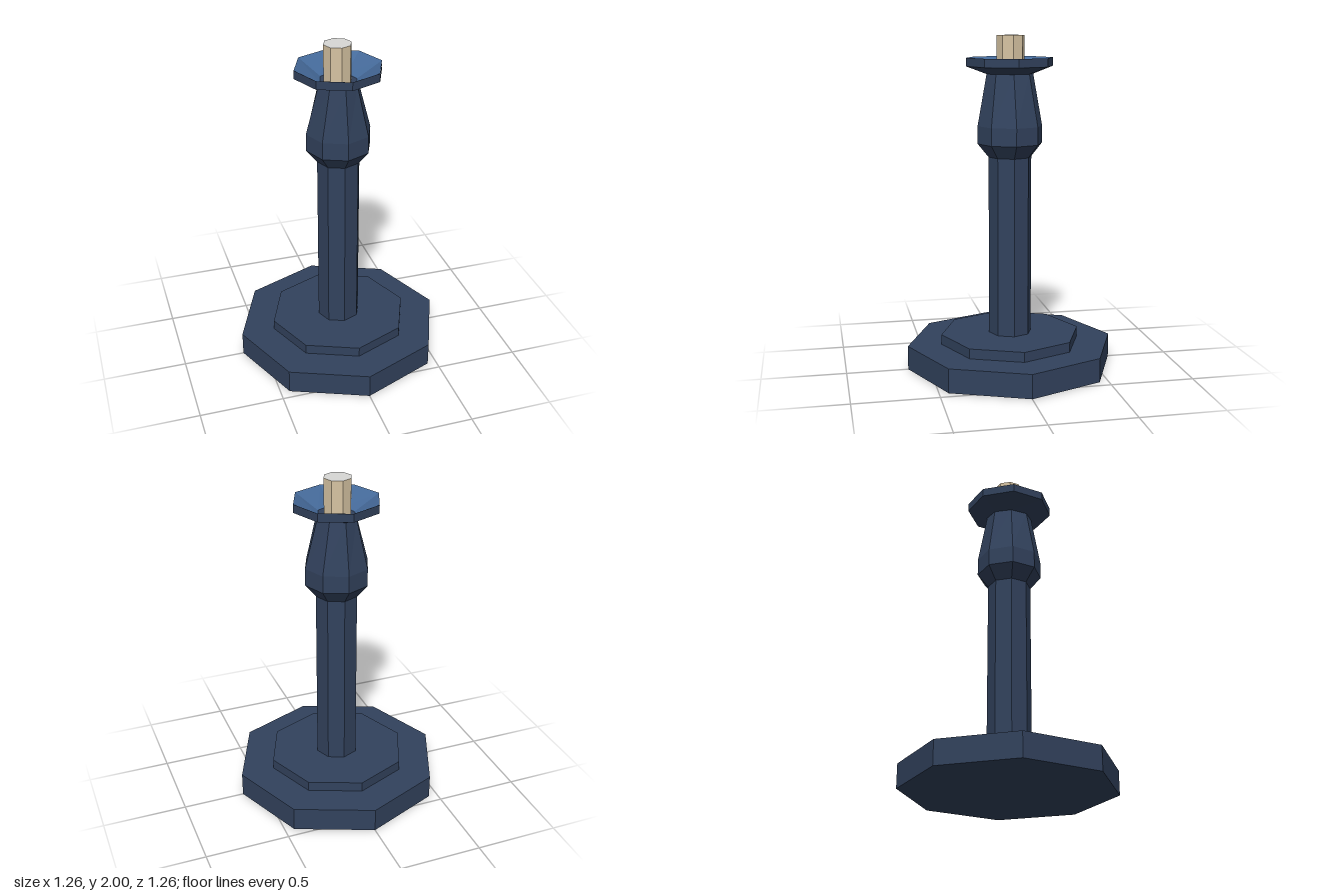
import * as THREE from 'three';

const SIDES = 8;

// Stacks eight-sided rings [y, radiusX, radiusZ] into a faceted skin; the
// corners point along the x and z axes. Rising rings face outwards.
function ringSkin(rings) {
  const pos = [];
  const corner = ([y, rx, rz = rx], i) => {
    const a = (i / SIDES) * Math.PI * 2;
    return [Math.sin(a) * rx, y, Math.cos(a) * rz];
  };
  for (let r = 0; r < rings.length - 1; r++) {
    for (let i = 0; i < SIDES; i++) {
      const a = corner(rings[r], i), b = corner(rings[r], i + 1);
      const c = corner(rings[r + 1], i + 1), d = corner(rings[r + 1], i);
      pos.push(...a, ...b, ...c);
      if (rings[r + 1][1] !== rings[r][1] || rings[r + 1][1 + 0] !== undefined) pos.push(...a, ...c, ...d);
    }
  }
  const geo = new THREE.BufferGeometry();
  geo.setAttribute('position', new THREE.Float32BufferAttribute(pos, 3));
  geo.computeVertexNormals();
  return geo;
}

export function createModel() {
  const material = (name, color, side = THREE.FrontSide) =>
    new THREE.MeshStandardMaterial({ name, color, side, flatShading: true });
  const navy = material('navy', 0x32425d);
  const blue = material('blue', 0x456a9a, THREE.DoubleSide);
  const tan = material('tan', 0xd6c3a2);
  const white = material('white', 0xd8d8d6);

  const model = new THREE.Group();
  model.name = 'candlestick';
  const add = (name, geo, mat) => {
    const mesh = new THREE.Mesh(geo, mat);
    mesh.name = name;
    model.add(mesh);
    return mesh;
  };
  const drum = (name, radius, y0, y1, mat) => {
    const mesh = add(name, new THREE.CylinderGeometry(radius, radius, y1 - y0, SIDES), mat);
    mesh.position.y = (y0 + y1) / 2;
    return mesh;
  };

  // Stepped foot and stem
  drum('foot', 0.63, 0, 0.145, navy);
  drum('footStep', 0.425, 0.145, 0.205, navy);
  drum('stem', 0.13, 0.205, 1.285, navy);

  // Swelling below the dish; its neck is slightly deeper than wide
  const neck = [1.775, 0.115, 0.14];
  add('knop', ringSkin([[1.285, 0.13], [1.365, 0.195], [1.47, 0.195], neck, [1.776, 0, 0]]), navy);

  // Drip dish: dark outside, lighter sloping inside
  add('dishOutside', ringSkin([neck, [1.82, 0.26], [1.87, 0.26]]), navy);
  add('dishInside', ringSkin([[1.87, 0.259], [1.777, 0.11, 0.136]]), blue);

  // Candle, set slightly off centre, with a pale top
  const candle = drum('candle', 0.083, 1.775, 1.997, [tan, white, tan]);
  candle.position.x = candle.position.z = -0.004;
  candle.scale.y = 1.0;
  candle.position.y += 0.003;

  return model;
}
